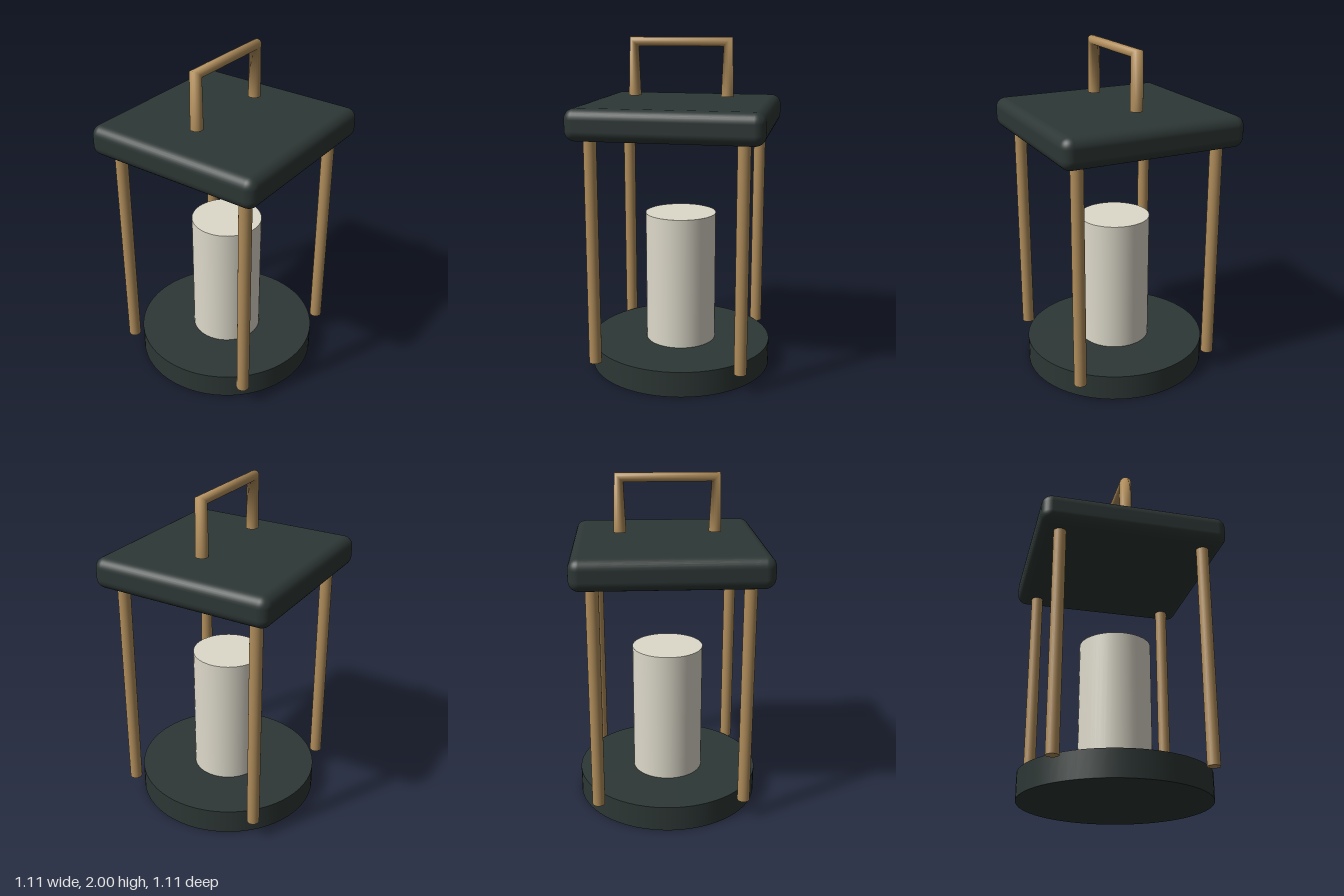
import * as THREE from 'three';
import { RoundedBoxGeometry } from 'three/addons/geometries/RoundedBoxGeometry.js';

const material = (name, color) => {
  const m = new THREE.MeshStandardMaterial({ color });
  m.name = name;
  return m;
};

// Tube around a bent path: each stop has a centre (x, y) and an in-plane ring axis (ux, uy)
function mitredTube(stops, radius, sides) {
  const positions = [], index = [];
  for (const [x, y, ux, uy] of stops) {
    for (let j = 0; j < sides; j++) {
      const a = (j / sides) * Math.PI * 2, c = radius * Math.cos(a);
      positions.push(x + c * ux, y + c * uy, radius * Math.sin(a));
    }
  }
  for (let i = 0; i < stops.length - 1; i++) {
    for (let j = 0; j < sides; j++) {
      const a = i * sides + j, b = i * sides + ((j + 1) % sides);
      index.push(a, b, a + sides, b, b + sides, a + sides);
    }
  }
  const g = new THREE.BufferGeometry();
  g.setAttribute('position', new THREE.Float32BufferAttribute(positions, 3));
  g.setIndex(index);
  g.computeVertexNormals();
  return g;
}

export function createModel() {
  const lantern = new THREE.Group();
  lantern.name = 'lantern';
  const dark = material('dark metal', 0x2d3735);
  const brass = material('brass', 0xb08d5b);
  const wax = material('wax', 0xdedacb);

  const add = (name, geometry, mat, x = 0, y = 0, z = 0, parent = lantern) => {
    const mesh = new THREE.Mesh(geometry, mat);
    mesh.name = name;
    mesh.position.set(x, y, z);
    parent.add(mesh);
    return mesh;
  };
  // Upright cylinder given by its bottom and top heights
  const upright = (name, radius, y0, y1, sides, mat, x = 0, z = 0) =>
    add(name, new THREE.CylinderGeometry(radius, radius, y1 - y0, sides), mat, x, (y0 + y1) / 2, z);

  // Round base, candle and square roof
  upright('base', 0.553, 0, 0.153, 64, dark);
  upright('candle', 0.214, 0.15, 0.955, 48, wax);
  add('roof', new RoundedBoxGeometry(1.106, 0.182, 1.106, 4, 0.06), dark, 0, 1.54, 0);

  // Four corner posts
  for (const sx of [-1, 1]) {
    for (const sz of [-1, 1]) upright('post', 0.037, 0.123, 1.48, 24, brass, sx * 0.431, sz * 0.431);
  }

  // Carrying handle with pinched mitred corners
  const handle = new THREE.Group();
  handle.name = 'handle';
  lantern.add(handle);
  const r = 0.037, k = Math.SQRT1_2, hx = 0.277, foot = 1.66, top = 1.973;
  const stops = [[-hx, foot, -1, 0], [-hx, top, -k, k], [hx, top, k, k], [hx, foot, 1, 0]];
  add('handleBar', mitredTube(stops, r, 20), brass, 0, 0, 0, handle);
  for (const s of [-1, 1]) {
    add('handleFoot', new THREE.CircleGeometry(r, 20), brass, s * hx, foot, 0, handle).rotation.x = Math.PI / 2;
  }

  return lantern;
}
